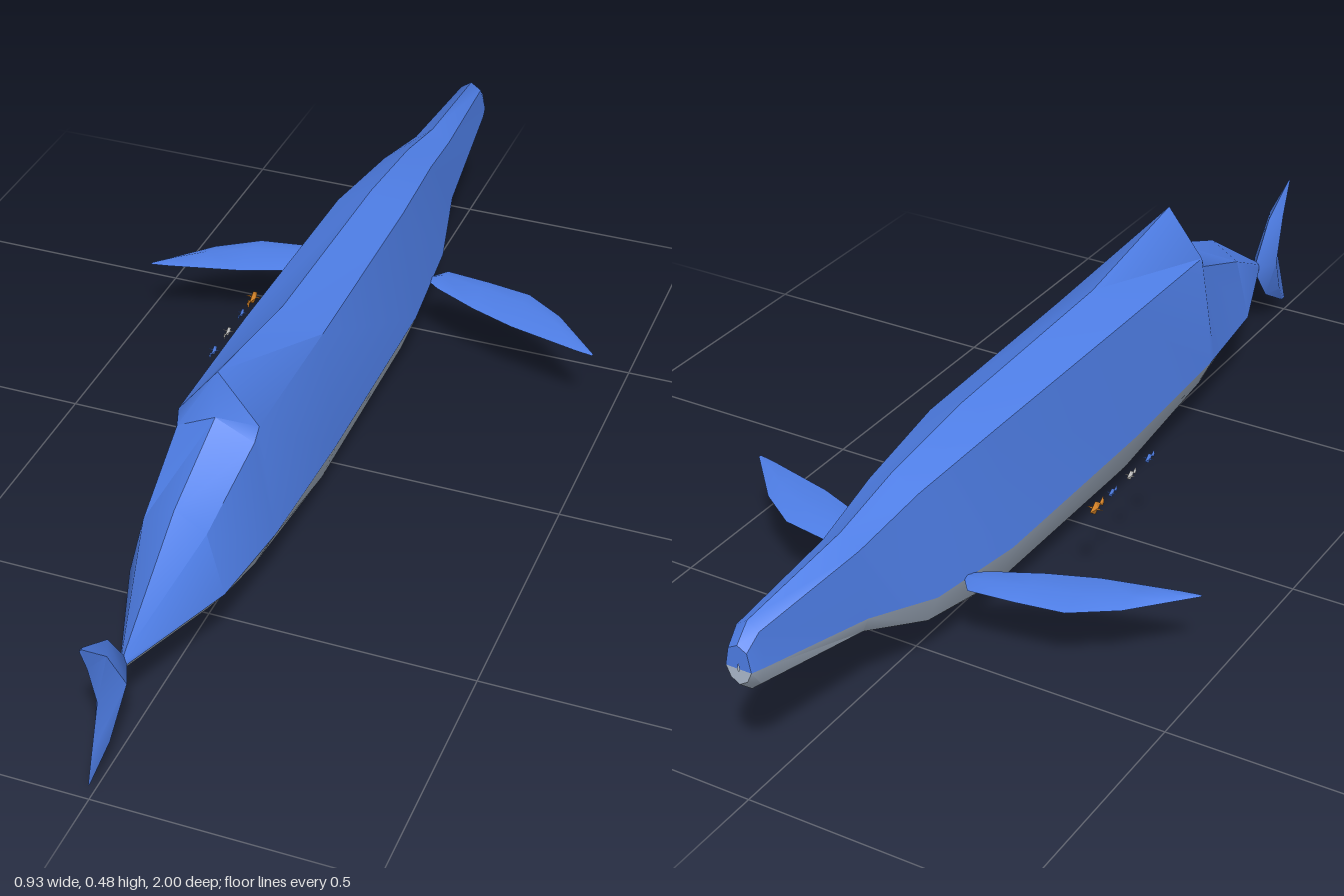
import * as THREE from 'three';
import { toCreasedNormals } from 'three/addons/utils/BufferGeometryUtils.js';

const material = (color) => new THREE.MeshStandardMaterial({ color, side: THREE.DoubleSide });
const BLUE = material(0x4f7fe8);
const BELLY = material(0xaebccf);
const ORANGE = material(0xe08a2a);
const GREY = material(0xcccccc);

// Skin a row of cross-sections; every ring has the same number of points.
function loft(rings, crease = 0.6) {
  const n = rings[0].length;
  const index = [];
  for (let i = 0; i < rings.length - 1; i++) {
    for (let j = 0; j < n - 1; j++) {
      const a = i * n + j, b = a + 1, c = b + n, d = a + n;
      index.push(a, b, c, a, c, d);
    }
  }
  const geometry = new THREE.BufferGeometry();
  geometry.setAttribute('position', new THREE.Float32BufferAttribute(rings.flat(2), 3));
  geometry.setIndex(index);
  return toCreasedNormals(geometry, crease);
}

function addMesh(parent, name, geometry, mat) {
  const mesh = new THREE.Mesh(geometry, mat);
  mesh.name = name;
  parent.add(mesh);
  return mesh;
}

// z, side half-width, side y, top y, shoulder half-width and y, lower half-width and y, bottom y
const SECTIONS = [
  [-1.00, 0.002, 0.265, 0.275, 0.001, 0.27, 0.001, 0.262, 0.26],
  [-1.00, 0.025, 0.265, 0.31, 0.018, 0.30, 0.016, 0.245, 0.235],
  [-0.97, 0.030, 0.260, 0.34, 0.022, 0.325, 0.020, 0.225, 0.208],
  [-0.71, 0.048, 0.205, 0.36, 0.036, 0.335, 0.036, 0.175, 0.158],
  [-0.55, 0.082, 0.165, 0.395, 0.050, 0.365, 0.060, 0.11, 0.085],
  [-0.33, 0.100, 0.150, 0.42, 0.068, 0.385, 0.070, 0.07, 0.005],
  [0.13, 0.103, 0.150, 0.435, 0.075, 0.39, 0.075, 0.07, 0.025],
  [0.435, 0.103, 0.165, 0.485, 0.075, 0.39, 0.070, 0.10, 0.06],
  [0.450, 0.102, 0.166, 0.40, 0.072, 0.365, 0.069, 0.10, 0.062],
  [0.63, 0.088, 0.175, 0.33, 0.058, 0.295, 0.056, 0.135, 0.108],
  [0.85, 0.006, 0.172, 0.185, 0.004, 0.18, 0.004, 0.166, 0.16],
];

// Pectoral fin stations: x, rear z, front z, half thickness
const FLIPPER = [
  [0.085, -0.47, -0.45, 0.004],
  [0.11, -0.50, -0.43, 0.008],
  [0.20, -0.49, -0.385, 0.011],
  [0.29, -0.475, -0.35, 0.011],
  [0.37, -0.42, -0.33, 0.009],
  [0.43, -0.355, -0.315, 0.006],
  [0.467, -0.315, -0.308, 0.001],
];

// Tail fin stations: y, inner z, outer z, half thickness
const TAIL = [
  [0.035, 0.985, 1.0, 0.001],
  [0.085, 0.90, 0.982, 0.014],
  [0.172, 0.835, 0.95, 0.026],
  [0.265, 0.90, 0.977, 0.016],
  [0.32, 0.99, 1.0, 0.001],
];

function flipperGeometry(side) {
  return loft(FLIPPER.map(([x, back, front, t]) => {
    const mid = back * 0.6 + front * 0.4;
    const ring = [[back, 0.16], [mid, 0.16 + t], [front, 0.16], [mid, 0.16 - t], [back, 0.16]]
      .map(([z, y]) => [side * x, y, z]);
    return side > 0 ? ring : ring.reverse();
  }), 1.2);
}

// Tiny companion: spindle body, upright tail and a pair of side fins
function createSmallFish(mat, size) {
  const fish = new THREE.Group();
  const body = addMesh(fish, 'smallFishBody', new THREE.OctahedronGeometry(1), mat);
  body.scale.set(0.3, 0.7, 1);
  const tail = addMesh(fish, 'smallFishTail', new THREE.ConeGeometry(0.5, 0.8, 4), mat);
  tail.rotation.x = -Math.PI / 2;
  tail.scale.x = 0.25;
  tail.position.z = 1;
  const fins = addMesh(fish, 'smallFishFins', new THREE.OctahedronGeometry(1), mat);
  fins.scale.set(0.85, 0.1, 0.25);
  fins.position.z = -0.1;
  fish.scale.setScalar(size);
  return fish;
}

export function createModel() {
  const model = new THREE.Group();
  model.name = 'whale';

  // Back with its swept ridge, and the pale belly below the side line
  const back = SECTIONS.map(([z, w, y, top, sw, sy]) =>
    [[w, y, z], [sw, sy, z], [0, top, z], [-sw, sy, z], [-w, y, z]]);
  const belly = SECTIONS.map(([z, w, y, , , , lw, ly, bottom]) =>
    [[-w, y, z], [-lw, ly, z], [0, bottom, z], [lw, ly, z], [w, y, z]]);
  addMesh(model, 'back', loft(back, 0.75), BLUE);
  addMesh(model, 'belly', loft(belly, 0.75), BELLY);

  // Pectoral fins
  addMesh(model, 'leftFlipper', flipperGeometry(1), BLUE);
  addMesh(model, 'rightFlipper', flipperGeometry(-1), BLUE);

  // Upright tail fin
  const tail = TAIL.map(([y, inner, outer, t]) => {
    const mid = (inner + outer) / 2;
    return [[0, y, outer], [t, y, mid], [0, y, inner], [-t, y, mid], [0, y, outer]];
  });
  addMesh(model, 'tailFin', loft(tail, 0.8), BLUE);

  // Line of small fish swimming alongside
  [[-0.21, ORANGE, 0.02], [-0.15, BLUE, 0.013], [-0.08, GREY, 0.014], [-0.01, BLUE, 0.015]]
    .forEach(([z, mat, size], i) => {
      const fish = createSmallFish(mat, size);
      fish.name = `smallFish${i + 1}`;
      fish.position.set(-0.2, 0.2, z);
      model.add(fish);
    });

  return model;
}
